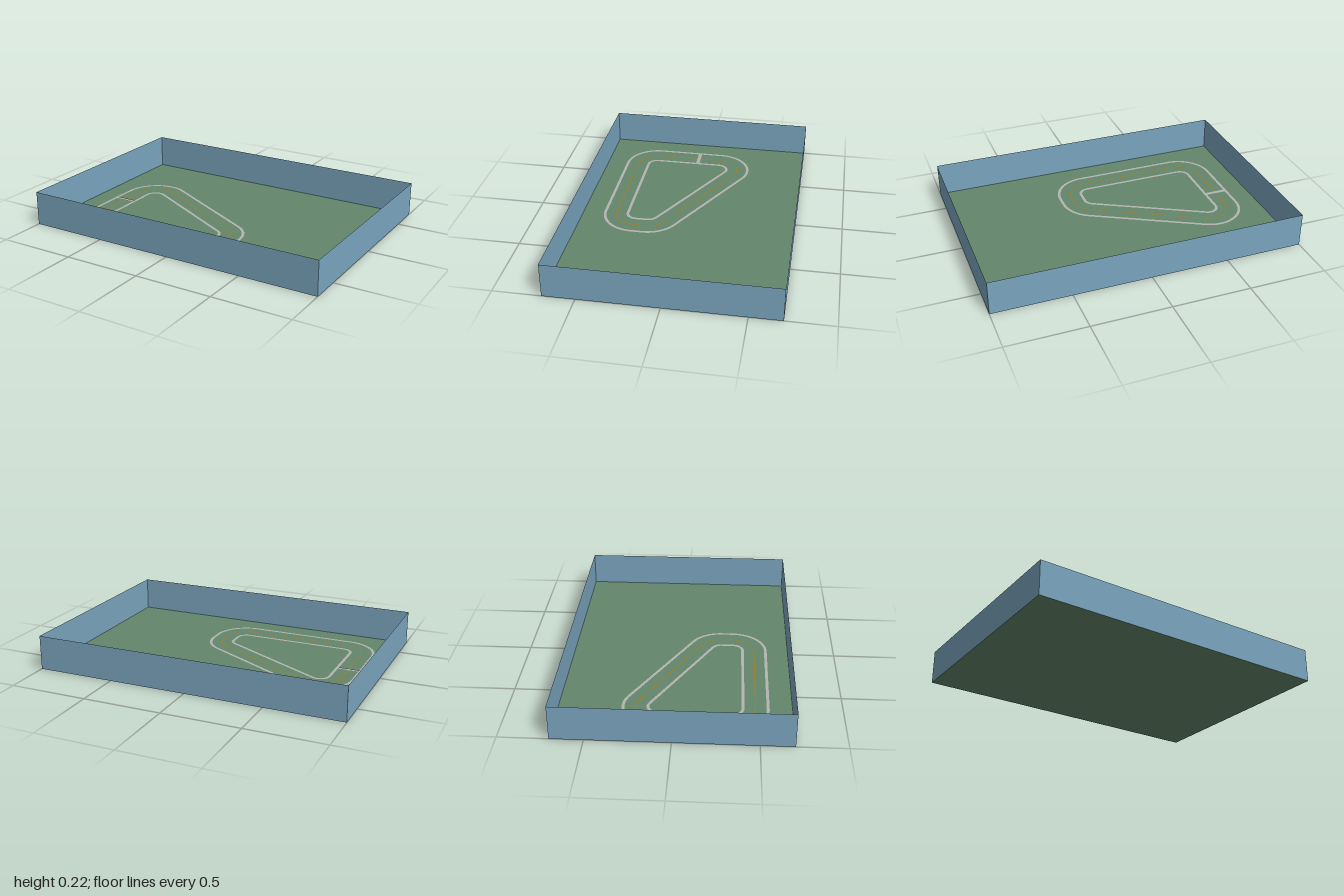
import * as THREE from 'three';
import { mergeGeometries } from 'three/addons/utils/BufferGeometryUtils.js';

const WIDTH = 2, DEPTH = 1.4, HEIGHT = 0.22;
const RADIUS = 0.138; // bend radius of the track's centre line
const HALF_TRACK = 0.075;
const LINE = 0.018;

// Bend centres of the circuit, counter-clockwise, as [x, -z]
const BENDS = [[-0.645, -0.342], [0.033, -0.342], [0.033, -0.265], [-0.645, 0.1]];

// Closed outline of the circuit at the given bend radius
function circuit(radius, path = new THREE.Shape()) {
  const normalAngle = (a, b) => Math.atan2(a[0] - b[0], b[1] - a[1]);
  BENDS.forEach((c, i) => {
    const start = normalAngle(BENDS[(i + 3) % 4], c);
    const end = normalAngle(c, BENDS[(i + 1) % 4]);
    path.absarc(c[0], c[1], radius, start, end, false);
  });
  path.closePath();
  return path;
}

// Flat painted band that follows the circuit
function band(radius, width) {
  const shape = circuit(radius + width / 2);
  shape.holes.push(circuit(radius - width / 2, new THREE.Path()));
  return new THREE.ShapeGeometry(shape, 20).rotateX(-Math.PI / 2);
}

export function createModel() {
  const group = new THREE.Group();
  const material = (name, color) => {
    const m = new THREE.MeshStandardMaterial({ color, side: THREE.DoubleSide });
    m.name = name;
    return m;
  };
  const grass = material('grass green', 0x63866a);
  const wallBlue = material('wall blue', 0x7aa5be);
  const paint = material('line grey', 0xb4b4b0);
  const orange = material('centre orange', 0xb07a12);

  const add = (name, geometry, mat, x = 0, y = 0, z = 0) => {
    const mesh = new THREE.Mesh(geometry, mat);
    mesh.name = name;
    mesh.position.set(x, y, z);
    group.add(mesh);
    return mesh;
  };

  // Ground sheet
  add('floor', new THREE.PlaneGeometry(WIDTH, DEPTH).rotateX(-Math.PI / 2), grass);

  // Four thin walls around the open tray
  for (const [name, length, angle, x, z] of [
    ['frontWall', WIDTH, 0, 0, DEPTH / 2],
    ['backWall', WIDTH, Math.PI, 0, -DEPTH / 2],
    ['leftWall', DEPTH, Math.PI / 2, WIDTH / 2, 0],
    ['rightWall', DEPTH, -Math.PI / 2, -WIDTH / 2, 0],
  ]) {
    add(name, new THREE.PlaneGeometry(length, HEIGHT).rotateY(angle), wallBlue, x, HEIGHT / 2, z);
  }

  // Track borders
  add('outerTrackLine', band(RADIUS + HALF_TRACK, LINE), paint, 0, 0.003, 0);
  add('innerTrackLine', band(RADIUS - HALF_TRACK, LINE), paint, 0, 0.003, 0);

  // Start line across the left-hand straight
  const startX = BENDS[0][0] - RADIUS;
  add('startLine', new THREE.PlaneGeometry(2 * HALF_TRACK, 0.025).rotateX(-Math.PI / 2),
    paint, startX, 0.004, 0.055);

  // Fine dashed centre line
  const centre = circuit(RADIUS);
  const count = 72;
  const dash = centre.getLength() / count * 0.8;
  const points = centre.getSpacedPoints(count);
  const dashes = [];
  for (let i = 0; i < count; i++) {
    const a = points[i], b = points[i + 1];
    dashes.push(new THREE.PlaneGeometry(dash, 0.006)
      .rotateZ(Math.atan2(b.y - a.y, b.x - a.x))
      .translate((a.x + b.x) / 2, (a.y + b.y) / 2, 0)
      .rotateX(-Math.PI / 2));
  }
  add('centreLine', mergeGeometries(dashes), orange, 0, 0.003, 0);

  return group;
}
